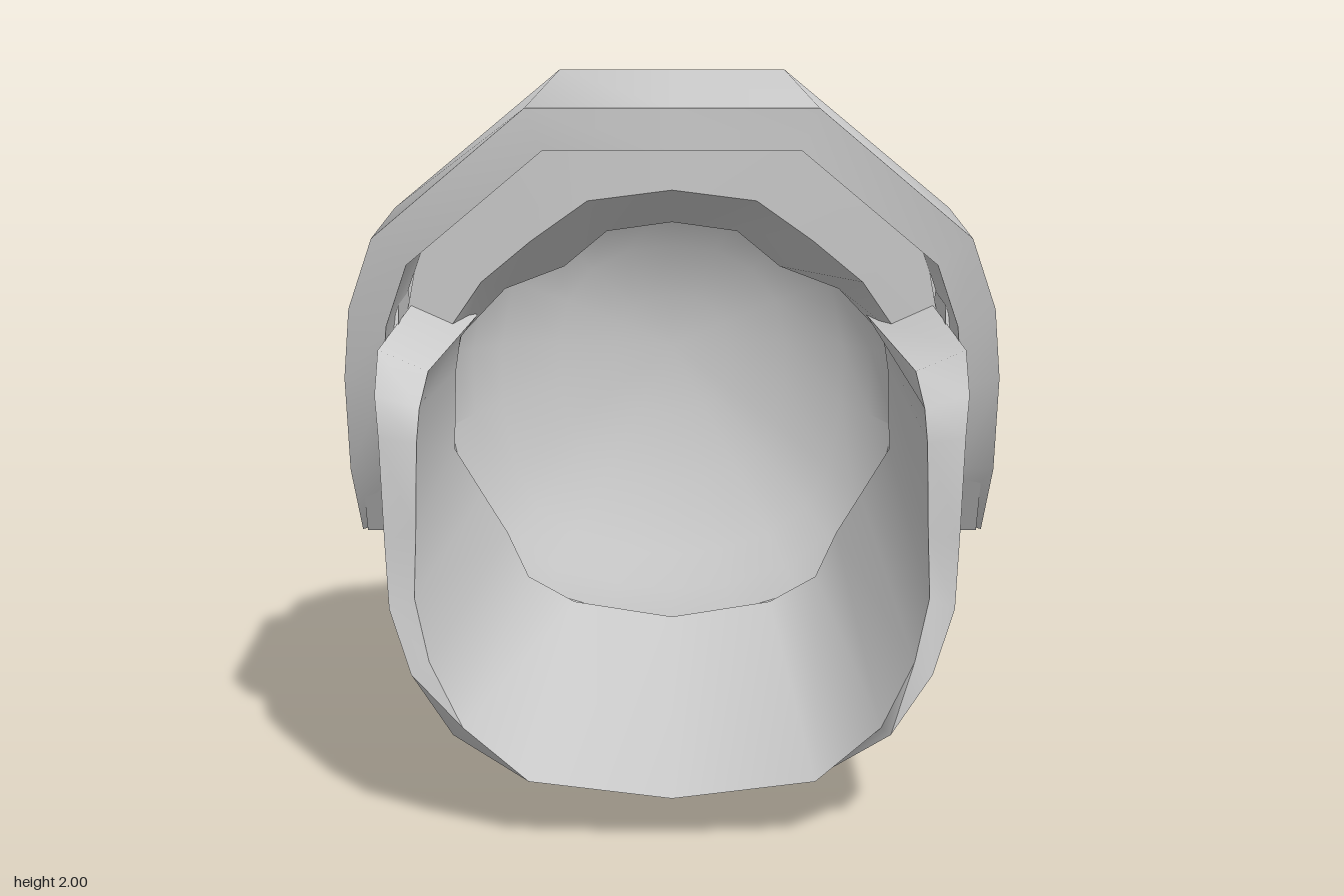
import * as THREE from 'three';
import { toCreasedNormals } from 'three/addons/utils/BufferGeometryUtils.js';

const CENTRE_Y = 0.97;
const shellGrey = new THREE.MeshStandardMaterial({ color: 0xcccccc });
shellGrey.name = 'shellGrey';

// Mirror half of a part onto the other side, sharing stations on the centre line
function mirrored(half) {
  const other = half.filter(s => Math.abs(s[0][0]) > 1e-6)
    .map(s => s.map(([x, y, z]) => [-x, y, z]));
  return [...half, ...other.reverse()];
}

// Skin a run of closed cross-sections; open runs get end caps
function loft(stations, closed, crease) {
  const n = stations.length, k = stations[0].length, tris = [];
  const quad = (a, b, c, d) => tris.push([a, b, c], [a, c, d]);
  for (let i = 0; i < (closed ? n : n - 1); i++) {
    const s = stations[i], t = stations[(i + 1) % n];
    for (let j = 0; j < k; j++) quad(s[j], s[(j + 1) % k], t[(j + 1) % k], t[j]);
  }
  if (!closed) {
    const a = stations[0], b = stations[n - 1];
    for (let j = 0; j < k / 2 - 1; j++) {
      quad(a[j], a[k - 1 - j], a[k - 2 - j], a[j + 1]);
      quad(b[j], b[j + 1], b[k - 2 - j], b[k - 1 - j]);
    }
  }
  // Drop collapsed triangles and make the winding face outwards
  const out = [];
  let volume = 0;
  for (const tri of tris) {
    const [a, b, c] = tri.map(p => new THREE.Vector3(...p));
    const cross = b.clone().sub(a).cross(c.clone().sub(a));
    if (cross.length() < 1e-7) continue;
    volume += a.dot(b.clone().cross(c));
    out.push(tri);
  }
  const flat = out.flatMap(([a, b, c]) => (volume < 0 ? [...a, ...c, ...b] : [...a, ...b, ...c]));
  const g = new THREE.BufferGeometry();
  g.setAttribute('position', new THREE.Float32BufferAttribute(flat, 3));
  return toCreasedNormals(g, crease);
}

// Row: outer front xyz, outer rear xyz, inner scale front, inner scale rear, inner front z shift
function band(rows, closed, scale) {
  const inner = (x, y, z, s) => [x * s, CENTRE_Y + (y - CENTRE_Y) * s, z];
  const half = rows.map(([xf, yf, zf, xr, yr, zr, sf = scale, sr = sf, dz = 0]) => [
    [xf, yf, zf], [xr, yr, zr], inner(xr, yr, zr, sr), inner(xf, yf, zf + dz, sf)]);
  return loft(mirrored(half), closed, 0.75);
}

export function createModel() {
  const model = new THREE.Group();
  model.name = 'helmet';
  const add = (name, geometry) => {
    const mesh = new THREE.Mesh(geometry, shellGrey);
    mesh.name = name;
    model.add(mesh);
    return mesh;
  };

  // Raised visor arching over the crown
  add('visor', band([
    [0.885, 0.71, 0.21, 0.885, 0.80, 0.03],
    [0.90, 0.92, 0.35, 0.90, 0.88, -0.04],
    [0.90, 1.20, 0.44, 0.90, 1.10, -0.07],
    [0.88, 1.40, 0.48, 0.88, 1.37, -0.07],
    [0.81, 1.60, 0.52, 0.80, 1.60, -0.05],
    [0.39, 1.96, 0.60, 0.32, 2.00, -0.03],
    [0, 1.96, 0.60, 0, 2.00, -0.03],
  ], false, 0.885));

  // Pivot plates under the visor ends
  const pivot = new THREE.Shape([
    [0.05, 1.40], [0.26, 1.17], [0.26, 1.08], [0.20, 0.85], [0.12, 0.75],
    [-0.03, 0.68], [-0.22, 0.71], [-0.34, 0.92], [-0.2, 1.38],
  ].map(p => new THREE.Vector2(...p)));
  const pivotGeometry = new THREE.ExtrudeGeometry(pivot, { depth: 0.1, bevelEnabled: false });
  pivotGeometry.rotateY(Math.PI / 2);
  add('leftPivotPlate', pivotGeometry).position.x = 0.77;
  add('rightPivotPlate', pivotGeometry).position.x = -0.87;

  // Jaw guard: cheeks and chin, funnelling inwards to the opening
  add('jawGuard', band([
    [0.79, 1.31, 0.60, 0.75, 1.31, -0.32, 0.83, 0.78],
    [0.79, 1.21, 0.71, 0.75, 1.20, -0.32, 0.85, 0.85],
    [0.78, 1.10, 0.735, 0.75, 1.08, -0.32, 0.87, 0.87],
    [0.77, 0.82, 0.735, 0.75, 0.80, -0.32, 0.89, 0.88],
    [0.76, 0.63, 0.745, 0.74, 0.60, -0.32, 0.91, 0.78],
    [0.70, 0.46, 0.79, 0.67, 0.42, -0.32, 0.93, 0.75],
    [0.59, 0.29, 0.79, 0.55, 0.28, -0.32, 0.95, 0.80, 0.04],
    [0.40, 0.15, 0.72, 0.38, 0.17, -0.32, 0.96, 0.79, 0.14],
    [0, 0.10, 0.70, 0, 0.14, -0.32, 0.96, 0.82, 0.16],
  ], false, 0.9));

  // Shallow pad wrapping under the chin
  add('chinPad', band([
    [0.64, 0.33, 0.68, 0.66, 0.36, 0.20],
    [0.59, 0.265, 0.68, 0.60, 0.27, 0.10],
    [0.40, 0.14, 0.68, 0.40, 0.145, 0.00],
    [0, 0.095, 0.68, 0, 0.125, 0.00],
  ], false, 0.96));

  // Neck band beneath the jaw
  add('neckBand', band([
    [0.80, 0.70, 0.25, 0.83, 0.71, -0.11],
    [0.79, 0.55, 0.24, 0.82, 0.62, -0.21],
    [0.72, 0.34, 0.13, 0.74, 0.35, -0.29],
    [0.53, 0.15, 0.00, 0.55, 0.15, -0.35],
    [0.22, 0.02, -0.08, 0.22, 0.03, -0.39],
    [0, 0.005, -0.09, 0, 0.02, -0.39],
  ], false, 0.9));

  // Main shell ring around the face opening
  add('shellRing', band([
    [0, 1.88, -0.04, 0, 1.82, -0.34, 0.75, 0.64],
    [0.33, 1.85, -0.04, 0.31, 1.79, -0.34, 0.74, 0.63],
    [0.56, 1.70, -0.05, 0.54, 1.65, -0.35, 0.73, 0.60],
    [0.73, 1.51, -0.06, 0.72, 1.45, -0.37, 0.76, 0.70],
    [0.78, 1.25, -0.07, 0.77, 1.20, -0.39, 0.86, 0.83],
    [0.78, 0.90, -0.08, 0.77, 0.90, -0.41, 0.90, 0.90],
    [0.76, 0.60, -0.10, 0.75, 0.60, -0.44, 0.88, 0.88],
    [0.67, 0.38, -0.13, 0.66, 0.39, -0.46, 0.88, 0.88],
    [0.50, 0.20, -0.16, 0.48, 0.22, -0.48, 0.88, 0.88],
    [0.22, 0.09, -0.2, 0.21, 0.13, -0.5, 0.88, 0.88],
    [0, 0.07, -0.2, 0, 0.12, -0.5, 0.88, 0.88],
  ], true, 0.8));

  // Raised rim separating shell and dome
  add('rearRim', band([
    [0, 1.95, -0.20, 0, 1.88, -0.32],
    [0.28, 1.92, -0.20, 0.27, 1.85, -0.32],
    [0.56, 1.77, -0.20, 0.55, 1.71, -0.34],
    [0.76, 1.53, -0.20, 0.75, 1.49, -0.36],
    [0.83, 1.25, -0.20, 0.84, 1.22, -0.39],
    [0.84, 0.90, -0.20, 0.85, 0.90, -0.43],
    [0.82, 0.60, -0.22, 0.81, 0.60, -0.47],
    [0.73, 0.34, -0.29, 0.72, 0.37, -0.52],
    [0.55, 0.15, -0.34, 0.53, 0.21, -0.56],
    [0.23, 0.03, -0.385, 0.22, 0.11, -0.59],
    [0, 0.015, -0.39, 0, 0.09, -0.60],
  ], true, 0.86));

  // Rear dome, a hollow bowl with a skirt tucked inside the rim
  const domeBase = [
    [0, 1.73], [0.28, 1.70], [0.51, 1.58], [0.67, 1.37], [0.725, 1.10], [0.725, 0.85],
    [0.67, 0.56], [0.58, 0.38], [0.42, 0.26], [0.20, 0.19], [0, 0.17],
  ];
  const domeSteps = [[1, -0.25], [1, 0], [0.9, 0.31], [0.78, 0.56], [0.52, 0.83], [0.26, 0.96], [0, 1]];
  const bowl = ([px, py], size, depth) => domeSteps.map(([s, d]) => {
    const tilt = 0.06 - (1.73 - py) * 0.13;
    return [px * s * size, 1.05 + (py - 1.05) * s * size, -0.4 + tilt * s ** 9 - depth * d];
  });
  add('rearDome', loft(mirrored(domeBase.map(p =>
    [...bowl(p, 1, 0.41), ...bowl(p, 0.94, 0.37).reverse()])), true, 0.7));

  // Raised plate over the dome: y, z, half width, edge drop in y and z
  const plateRows = [
    [1.77, -0.33, 0.50, 0.16, 0.00], [1.64, -0.62, 0.42, 0.09, -0.03],
    [1.28, -0.86, 0.34, 0.00, -0.035], [0.95, -0.83, 0.36, 0.00, -0.04],
    [0.60, -0.79, 0.36, -0.04, -0.05],
  ];
  const plateColumns = [-1, -0.5, 0, 0.5, 1].map(u => {
    const outer = plateRows.map(([y, z, w, dy, dz]) => [u * w, y - dy * u * u, z - dz * u * u]);
    const inner = outer.map(([x, y, z]) => [x * 0.97, 1 + (y - 1) * 0.94, -0.3 + (z + 0.3) * 0.89]);
    return [...outer, ...inner.reverse()];
  });
  add('domePlate', loft(plateColumns, false, 0.6));

  return model;
}
